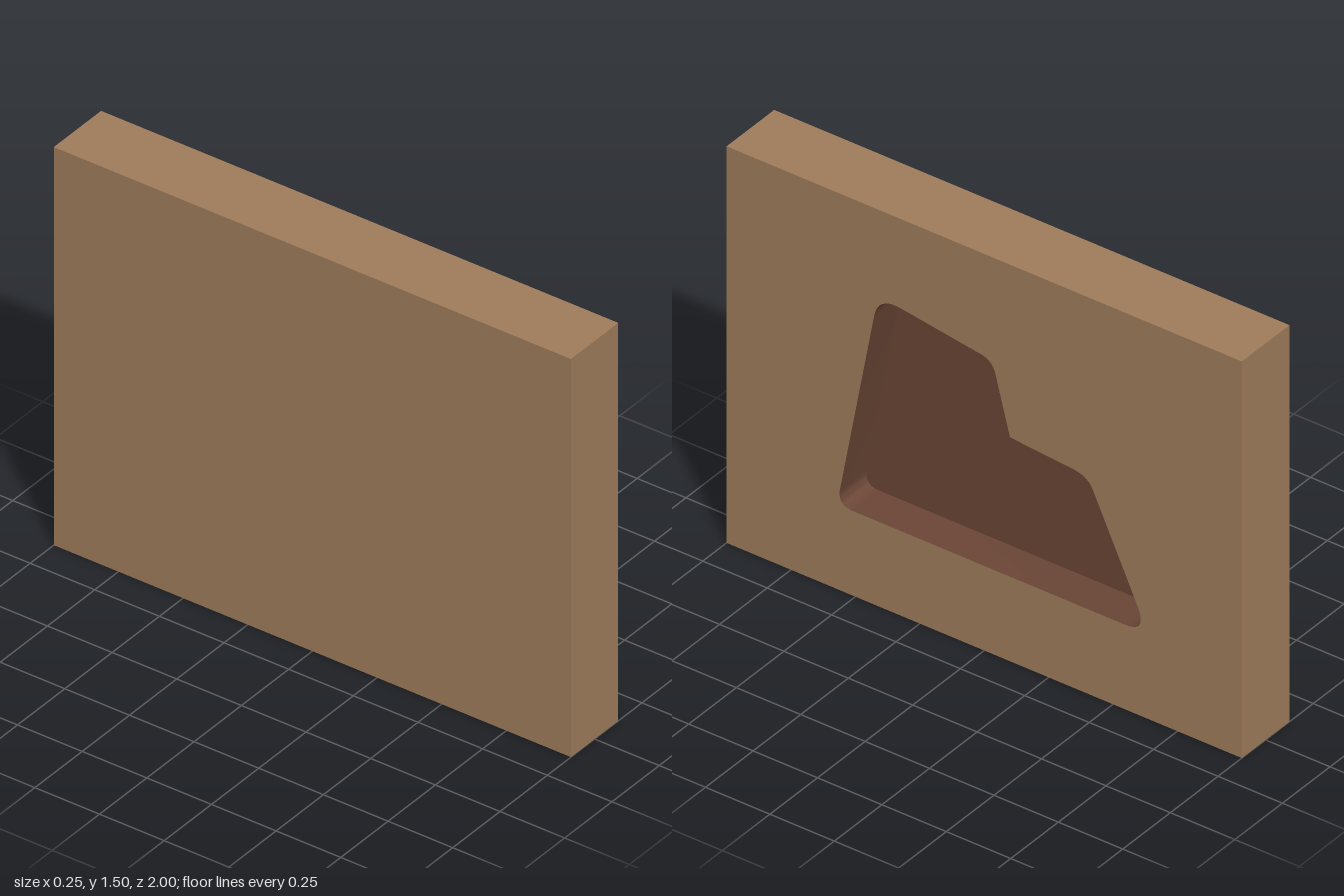
import * as THREE from 'three';
import { toCreasedNormals } from 'three/addons/utils/BufferGeometryUtils.js';

const WIDTH = 2, HEIGHT = 1.5, THICK = 0.25, DEPTH = 0.14;

// Rounded, stepped outline of the recess, counter-clockwise
function trace(path) {
  path.moveTo(-0.56, 0.38);
  path.quadraticCurveTo(-0.57, 0.32, -0.51, 0.32);
  path.lineTo(0.545, 0.32);
  path.quadraticCurveTo(0.63, 0.32, 0.6, 0.4);
  path.lineTo(0.42, 0.783);
  path.quadraticCurveTo(0.4, 0.82, 0.35, 0.826);
  path.lineTo(0.1, 0.847);
  path.lineTo(0.043, 1.066);
  path.quadraticCurveTo(0.03, 1.108, -0.01, 1.115);
  path.lineTo(-0.33, 1.163);
  path.quadraticCurveTo(-0.414, 1.172, -0.428, 1.087);
  path.closePath();
  return path;
}

// Inward-facing wall swept along the outline from z0 to z1
function wallGeometry(points, z0, z1) {
  const position = [];
  for (let i = 0; i < points.length - 1; i++) {
    const a = points[i], b = points[i + 1];
    if (a.distanceTo(b) < 1e-6) continue;
    position.push(a.x, a.y, z0, a.x, a.y, z1, b.x, b.y, z1);
    position.push(a.x, a.y, z0, b.x, b.y, z1, b.x, b.y, z0);
  }
  const geometry = new THREE.BufferGeometry();
  geometry.setAttribute('position', new THREE.Float32BufferAttribute(position, 3));
  return toCreasedNormals(geometry, 0.6);
}

export function createModel() {
  const wood = new THREE.MeshStandardMaterial({ color: 0xa07d5c });
  const darkWood = new THREE.MeshStandardMaterial({ color: 0x6b4636 });
  const model = new THREE.Group();
  model.name = 'recessedPanel';

  const add = (name, geometry, material) => {
    const mesh = new THREE.Mesh(geometry, material);
    mesh.name = name;
    model.add(mesh);
  };

  // Five closed sides of the slab; the +z face is replaced by the cut face
  const slab = new THREE.BoxGeometry(WIDTH, HEIGHT, THICK).translate(0, HEIGHT / 2, 0);
  const index = Array.from(slab.index.array);
  index.splice(24, 6);
  slab.setIndex(index);
  slab.clearGroups();
  add('panelBody', slab, wood);

  // Face with the recess opening
  const face = new THREE.Shape();
  face.moveTo(-WIDTH / 2, 0);
  face.lineTo(WIDTH / 2, 0);
  face.lineTo(WIDTH / 2, HEIGHT);
  face.lineTo(-WIDTH / 2, HEIGHT);
  face.closePath();
  face.holes.push(trace(new THREE.Path()));
  add('panelFace', new THREE.ShapeGeometry(face, 10).translate(0, 0, THICK / 2), wood);

  // Recess floor and walls
  const recess = trace(new THREE.Shape());
  const floorZ = THICK / 2 - DEPTH;
  add('recessFloor', new THREE.ShapeGeometry(recess, 10).translate(0, 0, floorZ), darkWood);
  add('recessWall', wallGeometry(recess.getPoints(10), floorZ, THICK / 2), darkWood);

  // Turn the cut face towards the model's left (+x)
  for (const mesh of model.children) mesh.geometry.rotateY(Math.PI / 2);
  return model;
}
